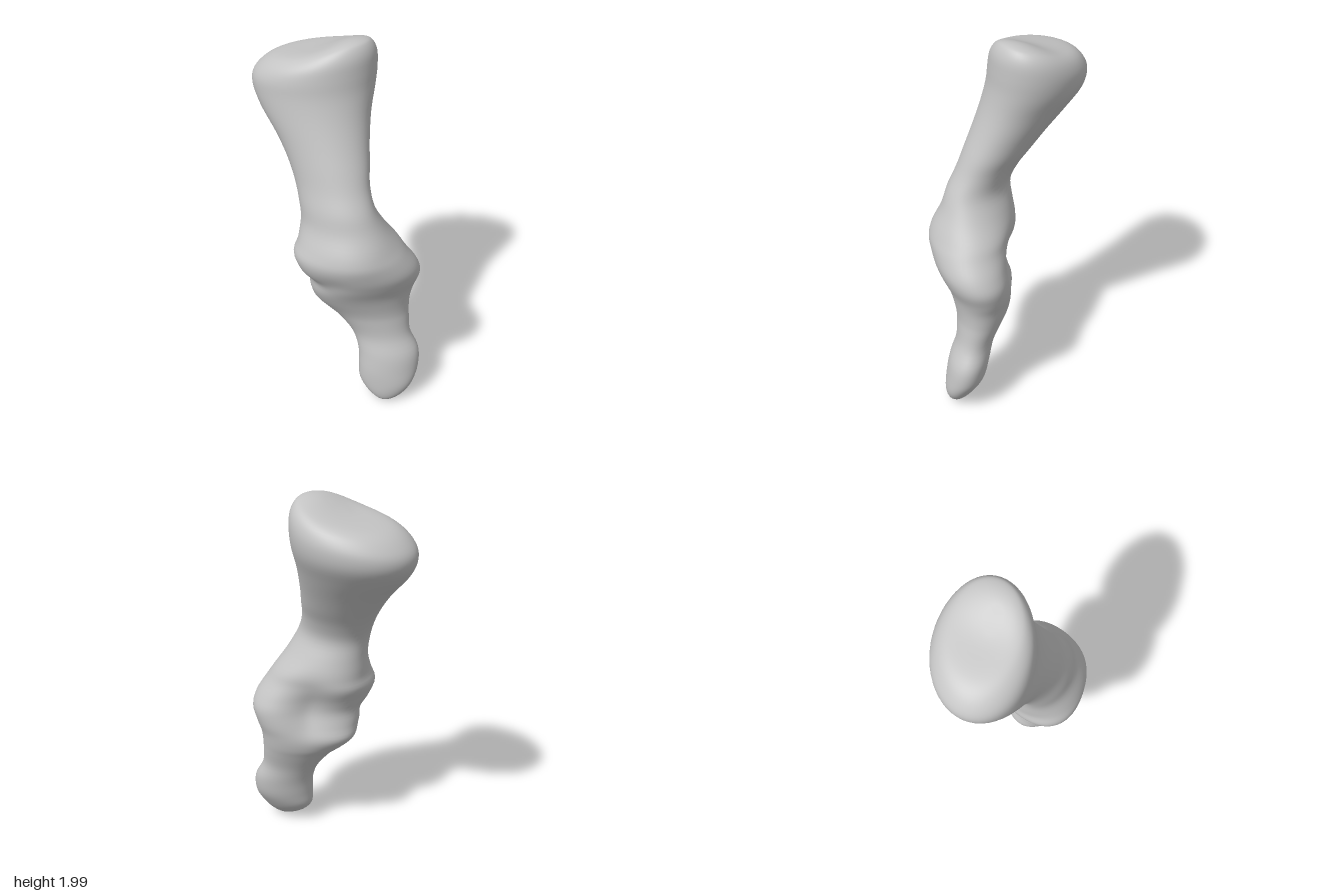
import * as THREE from 'three';

// Cross-sections from tip to head: y, xMin, xMax, zMax, zMin
const SECTIONS = [
  [0.00, 0.355, 0.385, 0.03, 0.00],
  [0.02, 0.32, 0.42, 0.055, -0.04],
  [0.06, 0.26, 0.455, 0.075, -0.085],
  [0.12, 0.21, 0.48, 0.085, -0.13],
  [0.20, 0.20, 0.483, 0.085, -0.175],
  [0.30, 0.185, 0.468, 0.075, -0.19],
  [0.40, 0.14, 0.415, 0.07, -0.178],
  [0.50, 0.06, 0.395, 0.105, -0.198],
  [0.56, -0.01, 0.39, 0.14, -0.213],
  [0.63, -0.075, 0.395, 0.19, -0.23],
  [0.70, -0.068, 0.41, 0.225, -0.25],
  [0.78, -0.063, 0.44, 0.265, -0.256],
  [0.85, -0.093, 0.446, 0.295, -0.232],
  [0.93, -0.137, 0.42, 0.311, -0.193],
  [1.00, -0.122, 0.382, 0.29, -0.165],
  [1.10, -0.108, 0.33, 0.25, -0.10],
  [1.20, -0.12, 0.285, 0.235, -0.055],
  [1.30, -0.165, 0.235, 0.215, -0.075],
  [1.40, -0.23, 0.20, 0.205, -0.125],
  [1.50, -0.31, 0.165, 0.20, -0.175],
  [1.62, -0.418, 0.13, 0.20, -0.24],
  [1.72, -0.478, 0.115, 0.197, -0.295],
  [1.80, -0.488, 0.113, 0.191, -0.312],
  [1.86, -0.452, 0.108, 0.166, -0.302],
  [1.90, -0.39, 0.086, 0.12, -0.272],
  [1.917, -0.30, 0.055, 0.06, -0.222],
  [1.922, -0.15, -0.03, -0.02, -0.11],
];

// Local hollows and swellings: centre x y z, horizontal radius, vertical radius, strength
const DENTS = [
  [0.05, 0.78, -0.14, 0.16, 0.21, -0.35], // pit behind the joint
  [0.05, 0.77, 0.23, 0.12, 0.055, -0.10], // joint crease, inner end
  [0.19, 0.82, 0.27, 0.11, 0.06, -0.06], // joint crease, outer end
  [-0.09, 0.95, 0.15, 0.13, 0.09, -0.10], // flattened inner knuckle
  [-0.04, 0.65, 0.14, 0.10, 0.06, -0.05], // flattened inner lip
  [0.28, 0.99, 0.18, 0.14, 0.10, 0.10], // outer knuckle
];

const SIDES = 56;
const STEPS = 4; // rings between neighbouring sections
const { smoothstep } = THREE.MathUtils;

// Skew of the oval section along the bone
function skewAt(y) {
  return -0.4 + 0.28 * smoothstep(y, 0.75, 1.12) - 0.09 * smoothstep(y, 1.4, 1.8);
}

// Height of a point on the head: its end face tilts up to a rounded peak
function tiltedHeight(x, y, z, dx) {
  const peak = Math.exp(-((x - 0.01) ** 2) / 0.018 - (z + 0.1) ** 2 / 0.032);
  return y + 0.16 * smoothstep(y, 1.5, 1.88) * dx + 0.052 * smoothstep(y, 1.78, 1.91) * peak;
}

function boneGeometry() {
  const spline = new THREE.CubicInterpolant(SECTIONS.map((_, i) => i), SECTIONS.flat(), 5);
  const rings = (SECTIONS.length - 1) * STEPS + 1;
  const positions = [];
  const index = [];
  for (let j = 0; j < rings; j++) {
    const [y, x0, x1, z1, z0] = spline.evaluate(j / STEPS);
    const cx = (x0 + x1) / 2, cz = (z0 + z1) / 2;
    const skew = skewAt(y);
    for (let i = 0; i < SIDES; i++) {
      const t = (i / SIDES) * Math.PI * 2;
      const dx = (x1 - x0) / 2 * Math.cos(t);
      const dz = (z1 - z0) / 2 * Math.sin(t + skew);
      let scale = 1;
      for (const [px, py, pz, r, ry, k] of DENTS) {
        const d = ((cx + dx - px) ** 2 + (cz + dz - pz) ** 2) / (r * r) + (y - py) ** 2 / (ry * ry);
        scale += k * Math.exp(-d);
      }
      const x = cx + dx * scale, z = cz + dz * scale;
      positions.push(x, tiltedHeight(x, y, z, dx), z);
    }
  }
  for (let j = 0; j < rings - 1; j++) {
    for (let i = 0; i < SIDES; i++) {
      const n = (i + 1) % SIDES;
      const a = j * SIDES + i, b = j * SIDES + n;
      index.push(a, a + SIDES, b, b, a + SIDES, b + SIDES);
    }
  }
  // Close both ends
  const last = SECTIONS.length - 1;
  for (const [row, ring] of [[0, 0], [last, rings - 1]]) {
    const [y, x0, x1, z1, z0] = SECTIONS[row];
    const pole = positions.length / 3;
    const x = (x0 + x1) / 2, z = (z0 + z1) / 2;
    positions.push(x, tiltedHeight(x, y, z, 0), z);
    for (let i = 0; i < SIDES; i++) {
      const a = ring * SIDES + i, b = ring * SIDES + (i + 1) % SIDES;
      if (row === 0) index.push(pole, a, b);
      else index.push(pole, b, a);
    }
  }
  const geometry = new THREE.BufferGeometry();
  geometry.setAttribute('position', new THREE.Float32BufferAttribute(positions, 3));
  geometry.setIndex(index);
  geometry.computeVertexNormals();
  return geometry;
}

export function createModel() {
  const boneGrey = new THREE.MeshStandardMaterial({ color: 0xc4c4c4 });
  boneGrey.name = 'bone grey';
  const bone = new THREE.Mesh(boneGeometry(), boneGrey);
  bone.name = 'fingerBone';
  const model = new THREE.Group();
  model.name = 'jointedBone';
  model.add(bone);
  return model;
}
